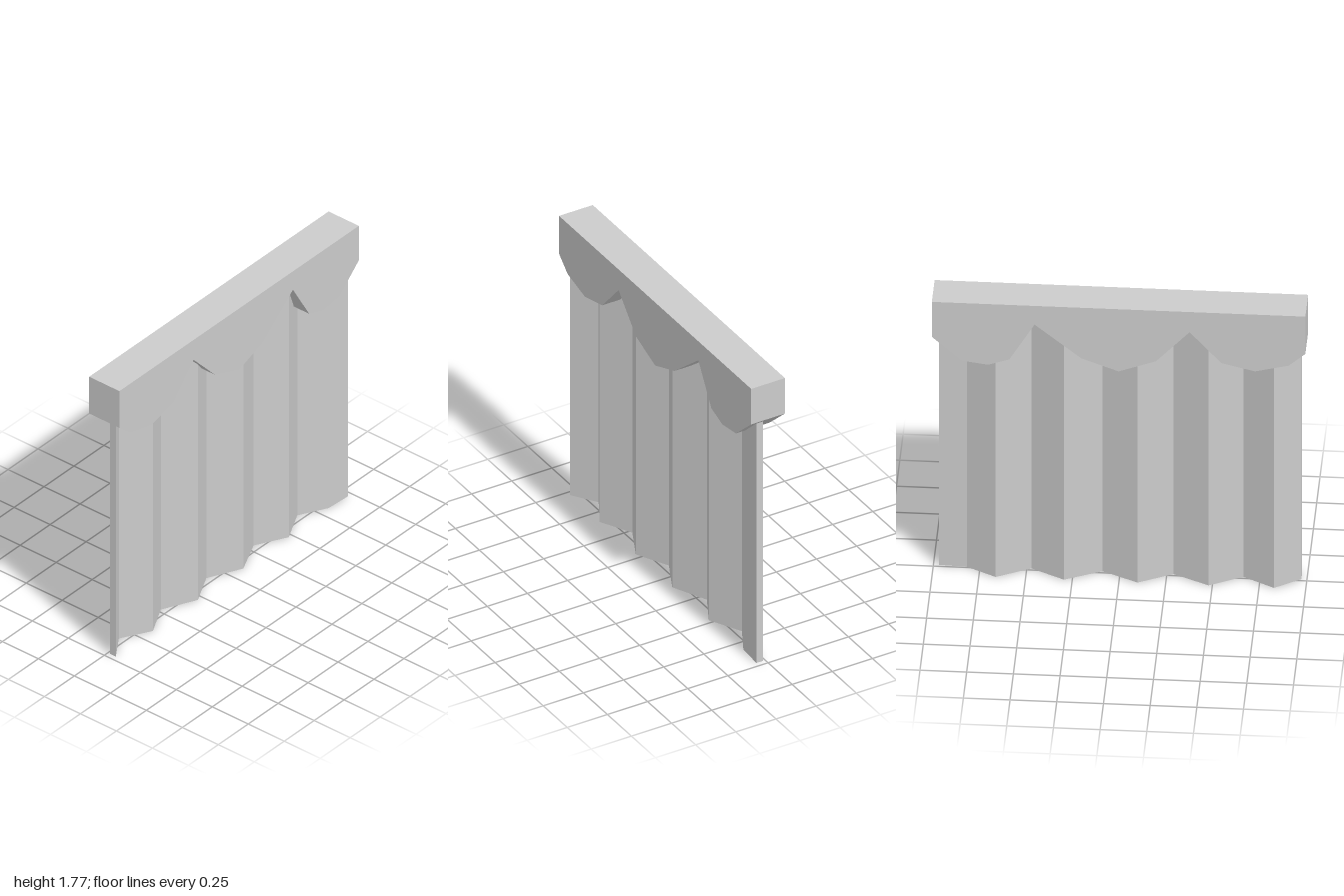
import * as THREE from 'three';

const material = new THREE.MeshStandardMaterial({ color: 0xcccccc, flatShading: true });

function extruded(name, points, depth) {
  const shape = new THREE.Shape(points.map(([x, y]) => new THREE.Vector2(x, y)));
  const geometry = new THREE.ExtrudeGeometry(shape, { depth, bevelEnabled: false });
  const mesh = new THREE.Mesh(geometry, material);
  mesh.name = name;
  return mesh;
}

export function createModel() {
  const group = new THREE.Group();
  group.name = 'curtain';

  // Valance: thick board with a scalloped lower edge
  const depth = 0.21;
  const scallops = [
    [-1, 1.53], [-0.91, 1.45], [-0.73, 1.405], [-0.55, 1.45], [-0.38, 1.64],
    [-0.2, 1.445], [0, 1.37], [0.2, 1.445], [0.45, 1.65], [0.585, 1.42],
    [0.7, 1.38], [0.84, 1.4], [1, 1.545],
  ];
  const valance = extruded('valance', [...scallops, [1, 1.77], [-1, 1.77]], depth);
  valance.position.z = -depth / 2;
  group.add(valance);

  // Pleated cloth: zigzag strip of constant thickness, raised from the floor
  const ridge = 0.055, valley = -0.04, thickness = 0.04;
  const folds = [-0.97, -0.83, -0.66, -0.48, -0.285, -0.1, 0.095, 0.295, 0.475, 0.66, 0.82]
    .map((x, i) => [x, i % 2 ? valley : ridge]);
  folds[10][1] = 0.046; // flatter last pleat
  folds.push([0.97, ridge]);
  const front = folds.map(([x, z]) => [x, -z]);
  const back = folds.map(([x, z]) => [x, thickness - z]).reverse();
  const cloth = extruded('pleatedCloth', [...front, ...back], 1.7);
  cloth.geometry.rotateX(-Math.PI / 2);
  group.add(cloth);

  return group;
}
